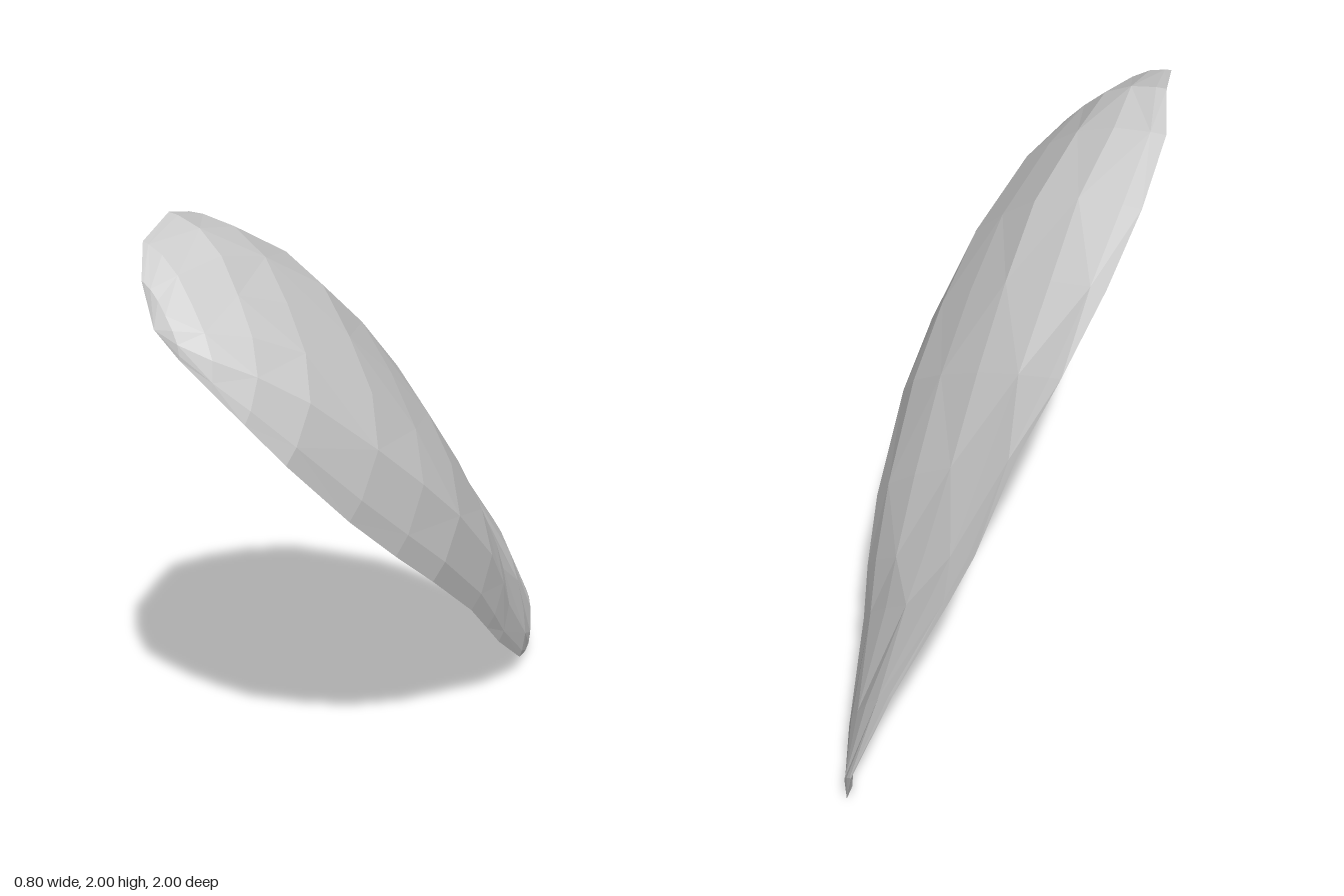
import * as THREE from 'three';

const V = (x, y, z) => new THREE.Vector3(x, y, z);

// Cross-sections from the front tip to the lower back tip: upper rim, lower rim,
// height of the dome, its lean to the lower rim, steepness beside the upper rim
const frontTip = V(-0.08, 1.76, 1.0);
const backTip = V(0.11, 0.04, -0.95);
const sections = [
  [V(-0.16, 1.88, 0.95), V(0.00, 1.68, 0.99), 0.03, 0, 3],
  [V(-0.24, 1.96, 0.84), V(0.09, 1.59, 0.96), 0.07, 0, 3],
  [V(-0.30, 1.995, 0.64), V(0.17, 1.49, 0.91), 0.125, 0, 3],
  [V(-0.38, 1.94, 0.44), V(0.25, 1.35, 0.82), 0.19, 0, 3],
  [V(-0.40, 1.80, 0.20), V(0.325, 1.11, 0.60), 0.235, 0, 3],
  [V(-0.39, 1.64, -0.05), V(0.365, 0.93, 0.40), 0.22, 0.1, 2.6],
  [V(-0.35, 1.45, -0.30), V(0.38, 0.77, 0.20), 0.185, 0.25, 2],
  [V(-0.28, 1.24, -0.47), V(0.35, 0.54, -0.10), 0.14, 0.4, 1.6],
  [V(-0.23, 0.98, -0.67), V(0.32, 0.40, -0.26), 0.11, 0.4, 1.6],
  [V(-0.18, 0.84, -0.75), V(0.29, 0.28, -0.40), 0.085, 0.25, 1.8],
  [V(-0.05, 0.52, -0.90), V(0.21, 0.07, -0.70), 0.055, 0, 2.4],
  [V(0.06, 0.20, -1.00), V(0.14, 0.00, -0.86), 0.025, 0, 3],
];
const STEPS = 8;
const WALL = 0.055;

const middles = sections.map(([u, l]) => u.clone().lerp(l, 0.5));

// One row of points bulging out of the chord between the two rims
function row(i, profile) {
  const [u, l] = sections[i];
  const along = (middles[i + 1] ?? backTip).clone().sub(middles[i - 1] ?? frontTip);
  const normal = l.clone().sub(u).cross(along).normalize();
  return Array.from({ length: STEPS + 1 }, (_, j) => {
    const c = -Math.cos((j / STEPS) * Math.PI);
    return u.clone().lerp(l, (c + 1) / 2).addScaledVector(normal, profile(c, sections[i]));
  });
}

// Skin over all rows, closed at both tips
function skin(name, profile, flip, material) {
  const rows = sections.map((_, i) => row(i, profile));
  const pts = [];
  const tri = (a, b, c) => pts.push(...(flip ? [a, c, b] : [a, b, c]));
  const last = rows[rows.length - 1];
  for (let j = 0; j < STEPS; j++) {
    tri(frontTip, rows[0][j + 1], rows[0][j]);
    for (let i = 0; i < rows.length - 1; i++) {
      const a = rows[i][j], b = rows[i][j + 1];
      const c = rows[i + 1][j], d = rows[i + 1][j + 1];
      if ((i + j) % 2) { tri(a, b, c); tri(b, d, c); }
      else { tri(a, b, d); tri(a, d, c); }
    }
    tri(last[j], last[j + 1], backTip);
  }
  const geometry = new THREE.BufferGeometry().setFromPoints(pts);
  geometry.computeVertexNormals();
  const mesh = new THREE.Mesh(geometry, material);
  mesh.name = name;
  return mesh;
}

// Steep-sided dome, and a softer hollow one wall thickness below it
const bulge = (c, height, lean, upper, lower) =>
  height * (1 - Math.abs(c) ** (c < 0 ? upper : lower)) * (1 + lean * c);
const dome = (c, [, , height, lean, upper]) => bulge(c, height, lean, upper, 4);
const hollow = (c, [, , height, lean, upper]) =>
  bulge(c, Math.max(height - WALL, height * 0.3), lean, Math.min(upper, 2.2), 2.2);

export function createModel() {
  const group = new THREE.Group();
  group.name = 'curvedShell';
  const grey = new THREE.MeshStandardMaterial({ color: 0xcccccc, flatShading: true });
  grey.name = 'lightGrey';

  group.add(skin('outerShell', dome, false, grey));
  group.add(skin('innerShell', hollow, true, grey));
  return group;
}
